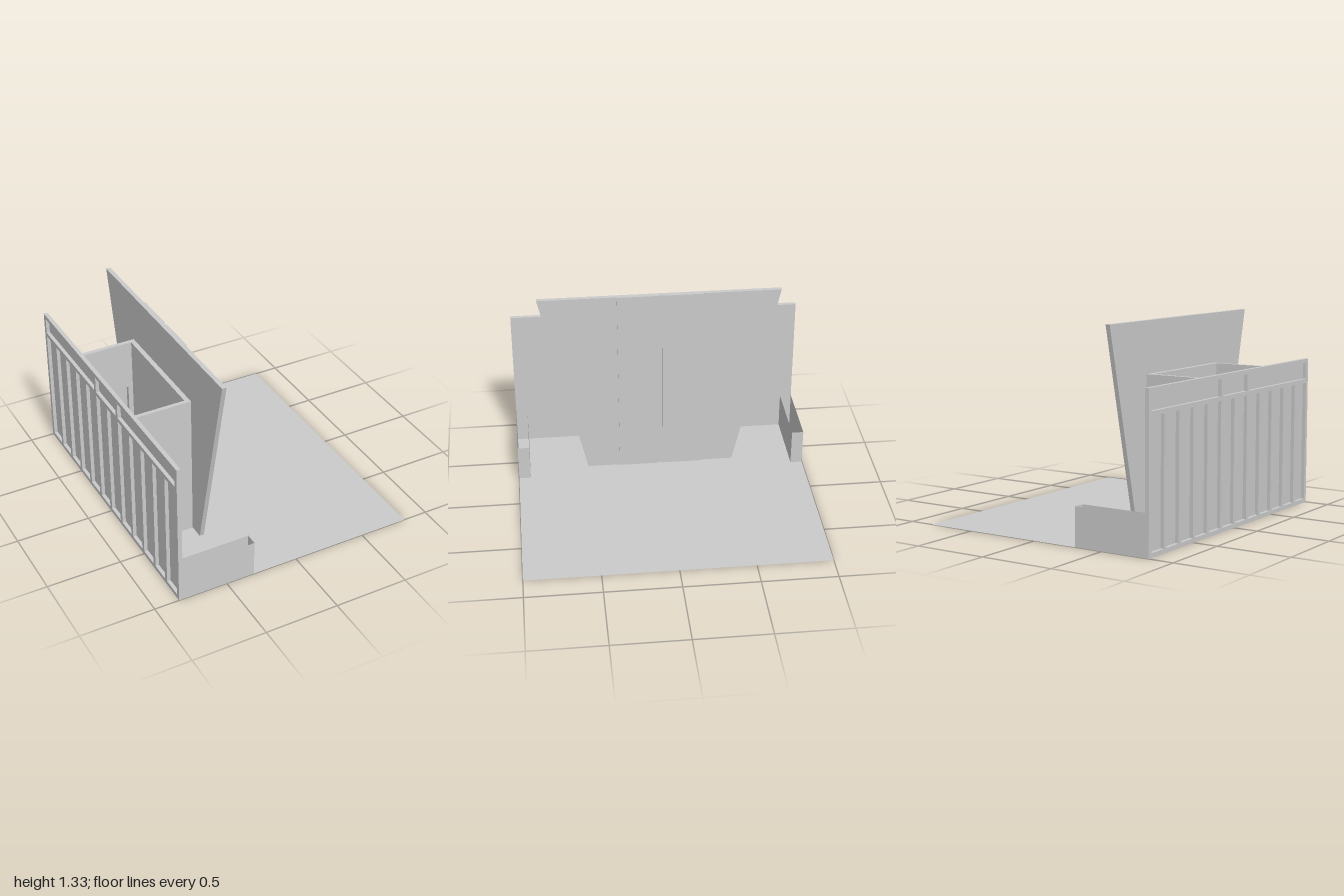
import * as THREE from 'three';

const mat = new THREE.MeshStandardMaterial({ color: 0xcccccc, flatShading: true });
const thin = new THREE.MeshStandardMaterial({ color: 0xcccccc, flatShading: true, side: THREE.DoubleSide });

export function createModel() {
  const model = new THREE.Group();

  const add = (name, geometry, parent = model, material = mat) => {
    const mesh = new THREE.Mesh(geometry, material);
    mesh.name = name;
    parent.add(mesh);
    return mesh;
  };
  // Box given by its minimum and maximum corner
  const box = (name, [x0, y0, z0], [x1, y1, z1], parent = model) => {
    const mesh = add(name, new THREE.BoxGeometry(x1 - x0, y1 - y0, z1 - z0), parent);
    mesh.position.set((x0 + x1) / 2, (y0 + y1) / 2, (z0 + z1) / 2);
    return mesh;
  };
  const group = (name) => {
    const g = new THREE.Group();
    g.name = name;
    model.add(g);
    return g;
  };

  // Floor sheet
  add('floor', new THREE.PlaneGeometry(1.666, 2).rotateX(-Math.PI / 2), model, thin);

  // Back wall: skin on the inside, timber framing on the outside
  const wall = group('backWall');
  const xo = -0.833, xi = -0.805, w = 0.028;
  box('wallSkin', [xi - 0.004, 0, -1], [xi, 1, 1], wall);
  box('bottomPlate', [xo, 0, -1], [xi - 0.004, w, 1], wall);
  box('middleRail', [xo, 0.835, -1], [xi - 0.004, 0.835 + w, 1], wall);
  box('topPlate', [xo, 1 - w, -1], [xi - 0.004, 1, 1], wall);
  for (let i = 0; i <= 12; i++) {
    const z = -1 + w / 2 + (i * (2 - w)) / 12;
    box('stud', [xo, w, z - w / 2], [xi - 0.004, 0.835, z + w / 2], wall);
    if (i % 12 === 0 || i === 5 || i === 7)
      box('upperStud', [xo, 0.835 + w, z - w / 2], [xi - 0.004, 1 - w, z + w / 2], wall);
  }

  // Closet between back wall and front panel, with a doorway on one side
  const closet = group('closet');
  box('closetFront', [-0.467, 0, -0.417], [-0.435, 1, 0.41], closet);
  box('closetSide', [xi, 0, 0.383], [-0.467, 1, 0.41], closet);
  box('doorwaySide', [xi, 0, -0.417], [-0.76, 1, -0.388], closet);
  box('doorwaySide', [-0.5, 0, -0.417], [-0.467, 1, -0.388], closet);
  box('doorwayHeader', [-0.76, 0.66, -0.417], [-0.5, 1, -0.388], closet);

  // Open closet door, turned about its hinge
  const hinge = group('closetDoor');
  hinge.position.set(-0.5, 0, -0.417);
  hinge.rotation.y = -Math.atan2(0.107, 0.24);
  hinge.scale.z = -1;
  box('doorLeaf', [-0.262, 0, 0], [0, 0.66, 0.01], hinge);
  hinge.scale.z = 1;
  hinge.rotation.y = Math.atan2(0.107, 0.24) * -1;

  // Tall front panel, flaring towards the top
  const shape = new THREE.Shape([
    [-0.51, 0], [0.51, 0], [0.818, 1.333], [-0.818, 1.333],
  ].map(([a, b]) => new THREE.Vector2(a, b)));
  const panel = new THREE.ExtrudeGeometry(shape, { depth: 0.03, bevelEnabled: false });
  add('frontPanel', panel.rotateY(Math.PI / 2)).position.x = -0.435;

  // Pair of slightly raised door leaves
  box('frontDoor', [-0.405, 0, 0.013], [-0.397, 1.333, 0.287]);
  box('frontDoor', [-0.405, 0, -0.293], [-0.397, 1.333, -0.018]);

  // Low planters at both ends, open on top
  for (const s of [-1, 1]) {
    const planter = group('planter');
    planter.position.set(-0.555, 0.125, s * 0.96);
    for (const k of [-1, 1]) {
      const side = add('planterSide', new THREE.PlaneGeometry(0.5, 0.25), planter, thin);
      side.position.z = k * 0.04;
      if (k < 0) side.rotation.y = Math.PI;
      const end = add('planterEnd', new THREE.PlaneGeometry(0.08, 0.25), planter, thin);
      end.position.x = k * 0.25;
      end.rotation.y = (k * Math.PI) / 2;
    }
  }

  return model;
}
